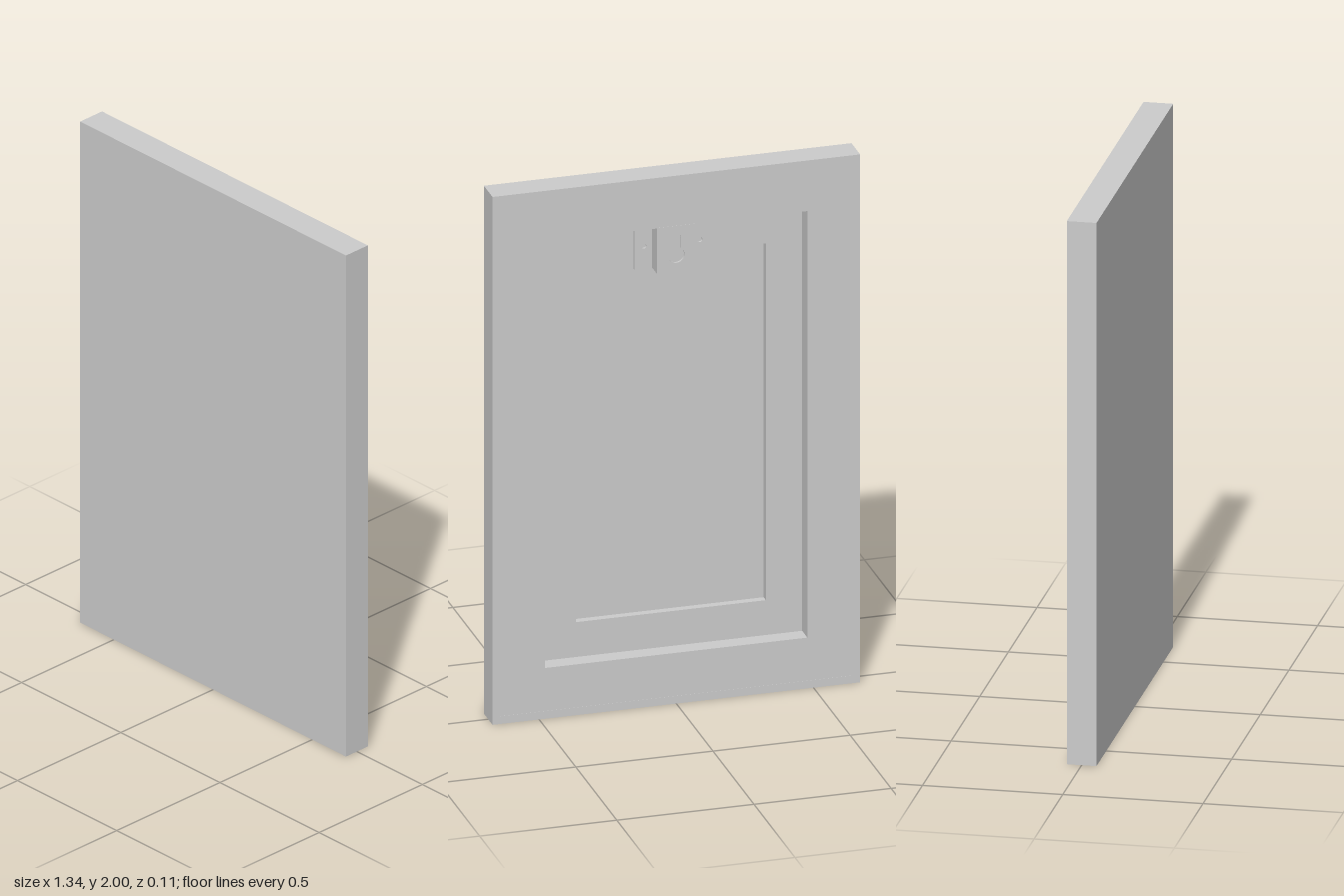
import * as THREE from 'three';

const MAT = new THREE.MeshStandardMaterial({ color: 0xcccccc });
const W = 0.67, H = 2, Z = 0.053;       // half width, height, half depth
const FLOOR = 0.012, SHEET = 0.04;      // recess floor and back of the front sheet

function trace(path, x0, y0, x1, y1) {
  path.moveTo(x0, y0);
  path.lineTo(x1, y0);
  path.lineTo(x1, y1);
  path.lineTo(x0, y1);
  path.closePath();
  return path;
}

// Upright slab from z0 to z1 with optional cut-outs
function slab(name, [x0, y0, x1, y1], holes, z0, z1) {
  const shape = trace(new THREE.Shape(), x0, y0, x1, y1);
  shape.holes.push(...holes);
  const geo = new THREE.ExtrudeGeometry(shape, { depth: z1 - z0, bevelEnabled: false, curveSegments: 12 });
  geo.translate(0, 0, z0);
  const mesh = new THREE.Mesh(geo, MAT);
  mesh.name = name;
  return mesh;
}

// Rectangle set in from the panel's outline
const inset = (d) => [-W + d, d, W - d, H - d];
const opening = (d) => trace(new THREE.Path(), ...inset(d));

function circle(x, y, r) {
  const p = new THREE.Path();
  p.absarc(x, y, r, 0, Math.PI * 2, true);
  return p;
}

// Round hole with a narrower round-topped slot above it
function keyhole(y, r, slotHalf, slotTop) {
  const a = Math.acos(slotHalf / r);
  const p = new THREE.Path();
  p.absarc(0, y, r, a, Math.PI - a, true);
  p.absarc(0, slotTop, slotHalf, Math.PI, 0, true);
  p.closePath();
  return p;
}

// Hat-shaped hanger: raised plate, two side walls, two screw flanges
function createHanger() {
  const hanger = new THREE.Group();
  hanger.name = 'hanger';
  const top = 1.81, bottom = 1.637, t = 0.008, plate = 0.071, end = 0.136;
  hanger.add(slab('hangerPlate', [-plate, bottom, plate, top],
    [keyhole(1.7, 0.03, 0.017, 1.763)], -Z, -Z + t));
  for (const s of [-1, 1]) {
    const span = (a, b) => [Math.min(s * a, s * b), bottom, Math.max(s * a, s * b), top];
    hanger.add(slab('hangerWall', span(plate - t, plate), [], -Z + t, FLOOR));
    hanger.add(slab('hangerFlange', span(plate, end), [circle(s * 0.102, 1.723, 0.01)], FLOOR - t, FLOOR));
  }
  return hanger;
}

export function createModel() {
  const model = new THREE.Group();
  model.name = 'wallPanel';
  model.add(
    // Plain front and the rim wrapped around the sides
    slab('frontSheet', inset(0), [], SHEET, Z),
    slab('rim', inset(0), [opening(0.029)], -Z, SHEET),
    // Back frame, a hair below the rim, and the stepped inner frame
    slab('backFrame', inset(0.029), [opening(0.192)], -Z + 0.001, SHEET),
    slab('innerFrame', inset(0.192), [opening(0.324)], FLOOR, SHEET),
    createHanger(),
  );
  return model;
}
